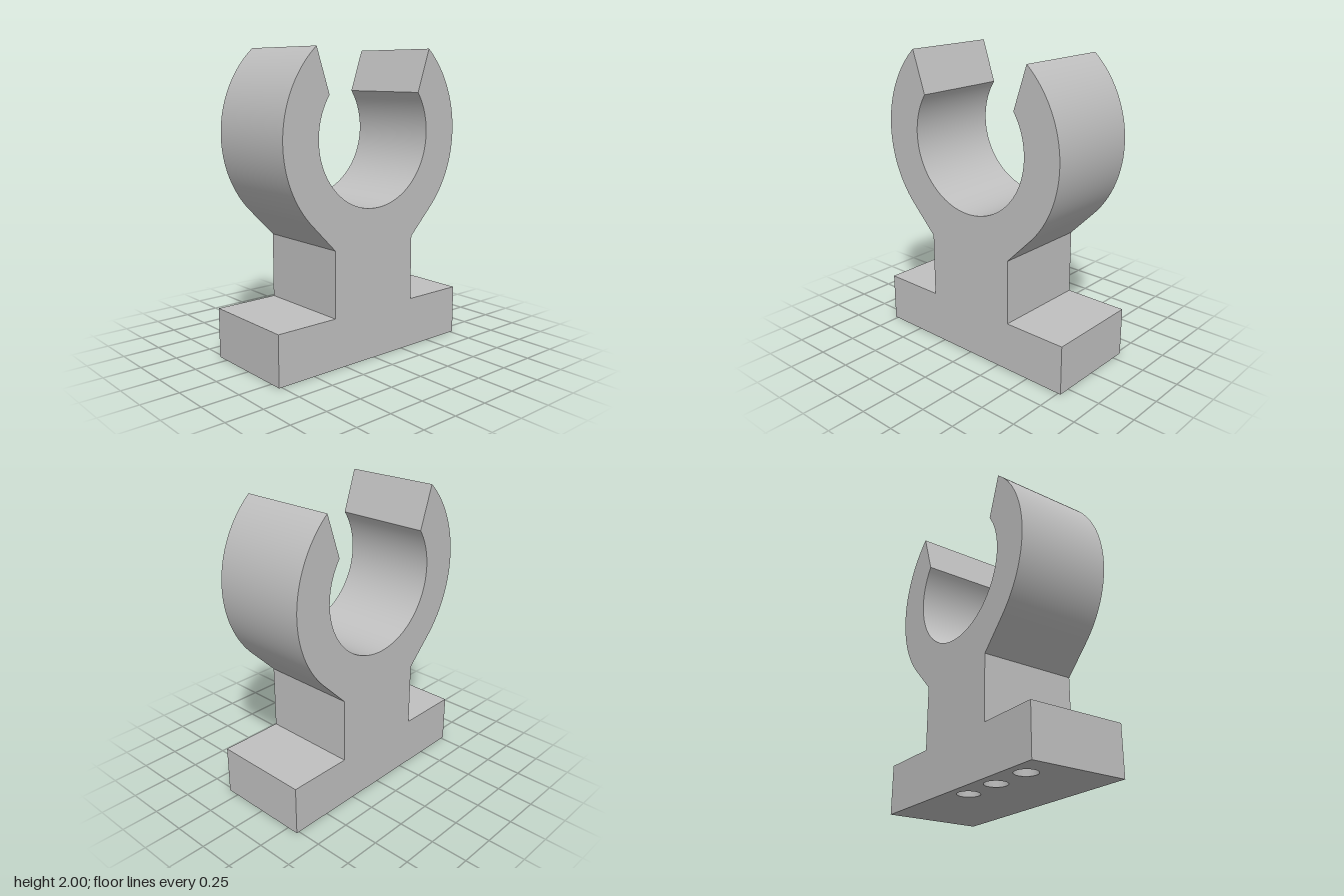
import * as THREE from 'three';
import { toCreasedNormals } from 'three/addons/utils/BufferGeometryUtils.js';

const WIDTH = 0.66;          // along x
const HALF_LENGTH = 0.77;    // base half length along z
const BASE_TOP = 0.333;
const HOLE_DEPTH = 0.22;
const CENTRE_Y = 1.456;      // centre of the clip ring
const OUTER_R = 0.72, INNER_R = 0.458;

export function createModel() {
  const group = new THREE.Group();
  group.name = 'pipeClip';
  const grey = new THREE.MeshStandardMaterial({ color: 0xc0c0c0 });
  grey.name = 'light grey';

  const add = (name, shape, depth, place) => {
    const geometry = new THREE.ExtrudeGeometry(shape, { depth, bevelEnabled: false, curveSegments: 32 });
    place(geometry);
    const mesh = new THREE.Mesh(toCreasedNormals(geometry, Math.PI / 7), grey);
    mesh.name = name;
    group.add(mesh);
  };

  // Clip body: upper base, stem and open ring as one side profile
  const outerTip = Math.atan2(2 - CENTRE_Y, 0.47);
  const innerTip = Math.atan2(1.72 - CENTRE_Y, 0.376);
  const body = new THREE.Shape();
  body.moveTo(-HALF_LENGTH, HOLE_DEPTH);
  body.lineTo(HALF_LENGTH, HOLE_DEPTH);
  body.lineTo(HALF_LENGTH, BASE_TOP);
  body.lineTo(0.332, BASE_TOP);
  body.lineTo(0.332, 0.768);
  body.absarc(0, CENTRE_Y, OUTER_R, -Math.PI / 4, outerTip, false);
  body.absarc(0, CENTRE_Y, INNER_R, innerTip, -Math.PI - innerTip, true);
  body.absarc(0, CENTRE_Y, OUTER_R, Math.PI - outerTip, Math.PI * 1.25, false);
  body.lineTo(-0.332, 0.768);
  body.lineTo(-0.332, BASE_TOP);
  body.lineTo(-HALF_LENGTH, BASE_TOP);
  body.closePath();
  add('clipBody', body, WIDTH, (g) => g.translate(0, 0, -WIDTH / 2).rotateY(-Math.PI / 2));

  // Lower base slab with three blind holes, closed above by the body
  const slab = new THREE.Shape();
  slab.moveTo(-WIDTH / 2, -HALF_LENGTH);
  slab.lineTo(WIDTH / 2, -HALF_LENGTH);
  slab.lineTo(WIDTH / 2, HALF_LENGTH);
  slab.lineTo(-WIDTH / 2, HALF_LENGTH);
  slab.closePath();
  for (const z of [0.556, 0.27, -0.016]) {
    slab.holes.push(new THREE.Path().absarc(-0.203, -z, 0.073, 0, Math.PI * 2, true));
  }
  add('baseWithHoles', slab, HOLE_DEPTH, (g) => g.rotateX(-Math.PI / 2));

  return group;
}
